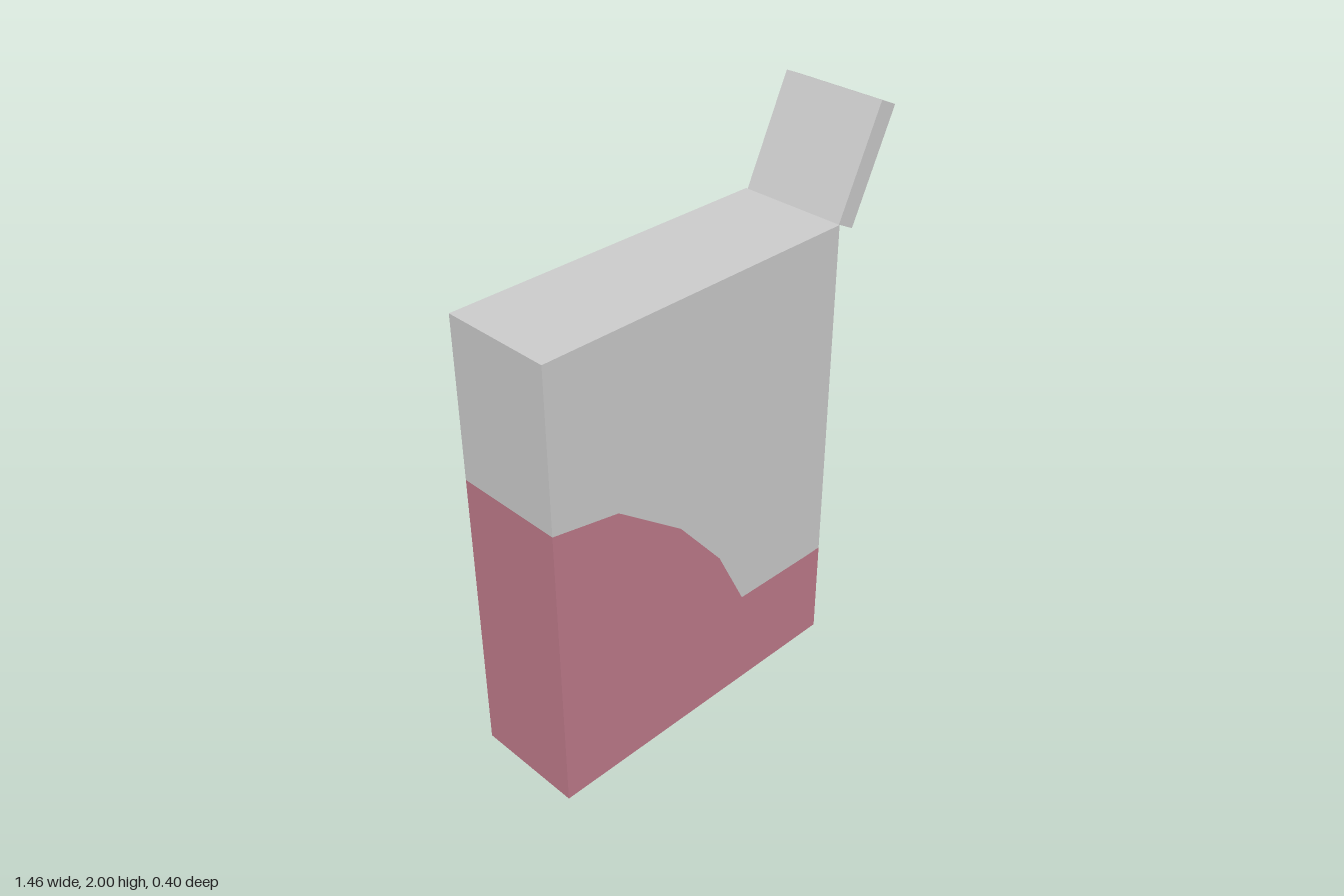
import * as THREE from 'three';

const DEPTH = 0.4;

// Closed outline from [x, y] points
const outline = (points) => new THREE.Shape(points.map(([x, y]) => new THREE.Vector2(x, y)));

// Extrude an x-y outline along z, centred on z = 0
function slab(name, points, depth, material) {
  const geometry = new THREE.ExtrudeGeometry(outline(points), { depth, bevelEnabled: false });
  geometry.translate(0, 0, -depth / 2);
  const mesh = new THREE.Mesh(geometry, material);
  mesh.name = name;
  return mesh;
}

export function createModel() {
  const grey = new THREE.MeshStandardMaterial({ color: 0xcccccc });
  grey.name = 'light grey';
  const rose = new THREE.MeshStandardMaterial({ color: 0xbf7b8b });
  rose.name = 'dusty rose';

  const left = -0.73, right = 0.485, top = 1.64, inner = 0.4, seam = 0.365;

  // Faceted boundary between the two colours
  const curve = [[left, 1.07], [-0.475, 1.022], [-0.215, 0.825], [-0.035, 0.605], [0.08, 0.371]];

  const model = new THREE.Group();
  model.name = 'box';

  // Coloured lower part and plain upper part of the box
  model.add(slab('lowerBox', [[left, 0], [right, 0], [right, seam], ...[...curve].reverse()], DEPTH, rose));
  model.add(slab('upperBox', [...curve, [inner, seam], [inner, top], [left, top]], DEPTH, grey));

  // Side wall with the square pouring recess
  const wall = outline([[-0.2, seam], [0.2, seam], [0.2, top], [-0.2, top]]);
  wall.holes.push(outline([[-0.14, 1.275], [-0.14, 1.555], [0.14, 1.555], [0.14, 1.275]]));
  const wallGeometry = new THREE.ExtrudeGeometry(wall, { depth: right - inner, bevelEnabled: false });
  wallGeometry.rotateY(Math.PI / 2);
  const spoutWall = new THREE.Mesh(wallGeometry, grey);
  spoutWall.name = 'spoutWall';
  spoutWall.position.x = inner;
  model.add(spoutWall);

  // Open flap hinged on the top edge
  const flap = slab('spoutFlap', [[0.485, 1.64], [0.552, 1.606], [0.725, 1.97], [0.657, 2]], 0.39, grey);
  flap.position.z = 0.002;
  model.add(flap);

  return model;
}
